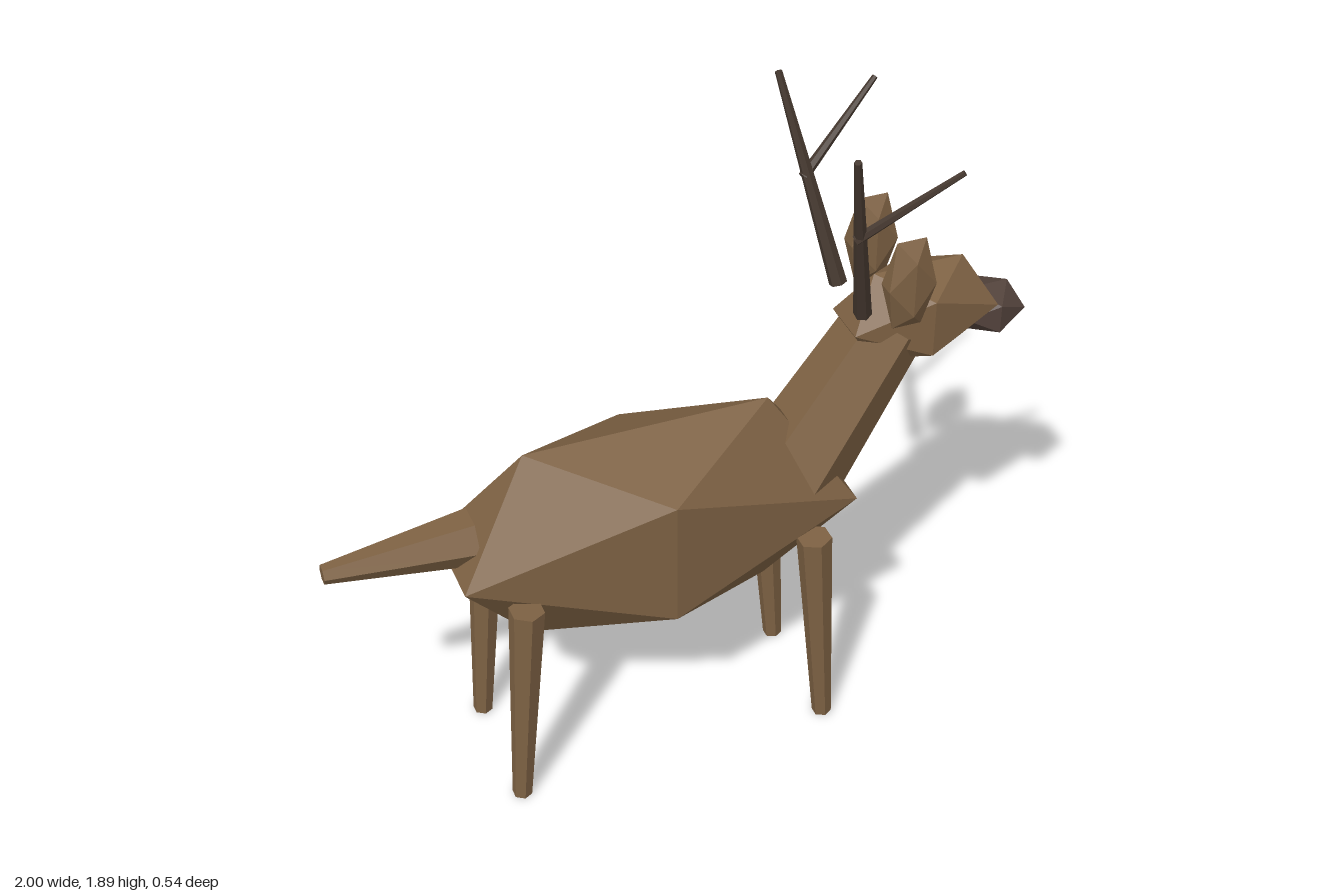
import * as THREE from 'three';

const flat = (name, color) => {
  const m = new THREE.MeshStandardMaterial({ color, flatShading: true });
  m.name = name;
  return m;
};

export function createModel() {
  const coat = flat('brown coat', 0x7d6143);
  const muzzleColor = flat('dark muzzle', 0x52423b);
  const antlerColor = flat('dark antler', 0x45382f);
  const model = new THREE.Group();
  model.name = 'deer';

  // Faceted ellipsoid: a twenty-sided ball stretched on each axis
  function blob(name, material, center, scale) {
    const geometry = new THREE.IcosahedronGeometry(1, 0).scale(...scale);
    const mesh = new THREE.Mesh(geometry, material);
    mesh.name = name;
    mesh.position.set(...center);
    model.add(mesh);
  }

  // Tapered six-sided limb from point a (radius ra) to point b (radius rb)
  function limb(name, material, a, ra, b, rb) {
    const start = new THREE.Vector3(...a);
    const end = new THREE.Vector3(...b);
    const axis = end.clone().sub(start);
    const mesh = new THREE.Mesh(new THREE.CylinderGeometry(rb, ra, axis.length(), 6), material);
    mesh.name = name;
    mesh.position.copy(start).add(end).multiplyScalar(0.5);
    mesh.quaternion.setFromUnitVectors(new THREE.Vector3(0, 1, 0), axis.normalize());
    model.add(mesh);
  }

  // Trunk, neck, head and tail
  blob('body', coat, [-0.09, 0.73, 0], [0.666, 0.364, 0.264]);
  limb('neck', coat, [0.32, 0.755, 0], 0.152, [0.615, 1.215, 0], 0.114);
  blob('head', coat, [0.69, 1.23, 0], [0.25, 0.162, 0.138]);
  blob('muzzle', muzzleColor, [0.91, 1.185, 0], [0.105, 0.08, 0.098]);
  limb('tail', coat, [-0.59, 0.808, 0], 0.08, [-1, 0.803, 0], 0.027);

  // Paired parts on both sides
  for (const [side, s] of [['left', -1], ['right', 1]]) {
    limb(`${side} front leg`, coat, [0.378, 0, s * 0.183], 0.028, [0.33, 0.67, s * 0.183], 0.05);
    limb(`${side} back leg`, coat, [-0.543, 0, s * 0.183], 0.028, [-0.503, 0.67, s * 0.183], 0.05);
    blob(`${side} ear`, coat, [0.603, 1.4, s * 0.118], [0.08, 0.157, 0.047]);
    limb(`${side} antler`, antlerColor, [0.492, 1.307, s * 0.078], 0.025, [0.373, 1.887, s * 0.245], 0.01);
    limb(`${side} antler branch`, antlerColor, [0.418, 1.605, s * 0.165], 0.015, [0.66, 1.805, s * 0.263], 0.008);
  }
  return model;
}
